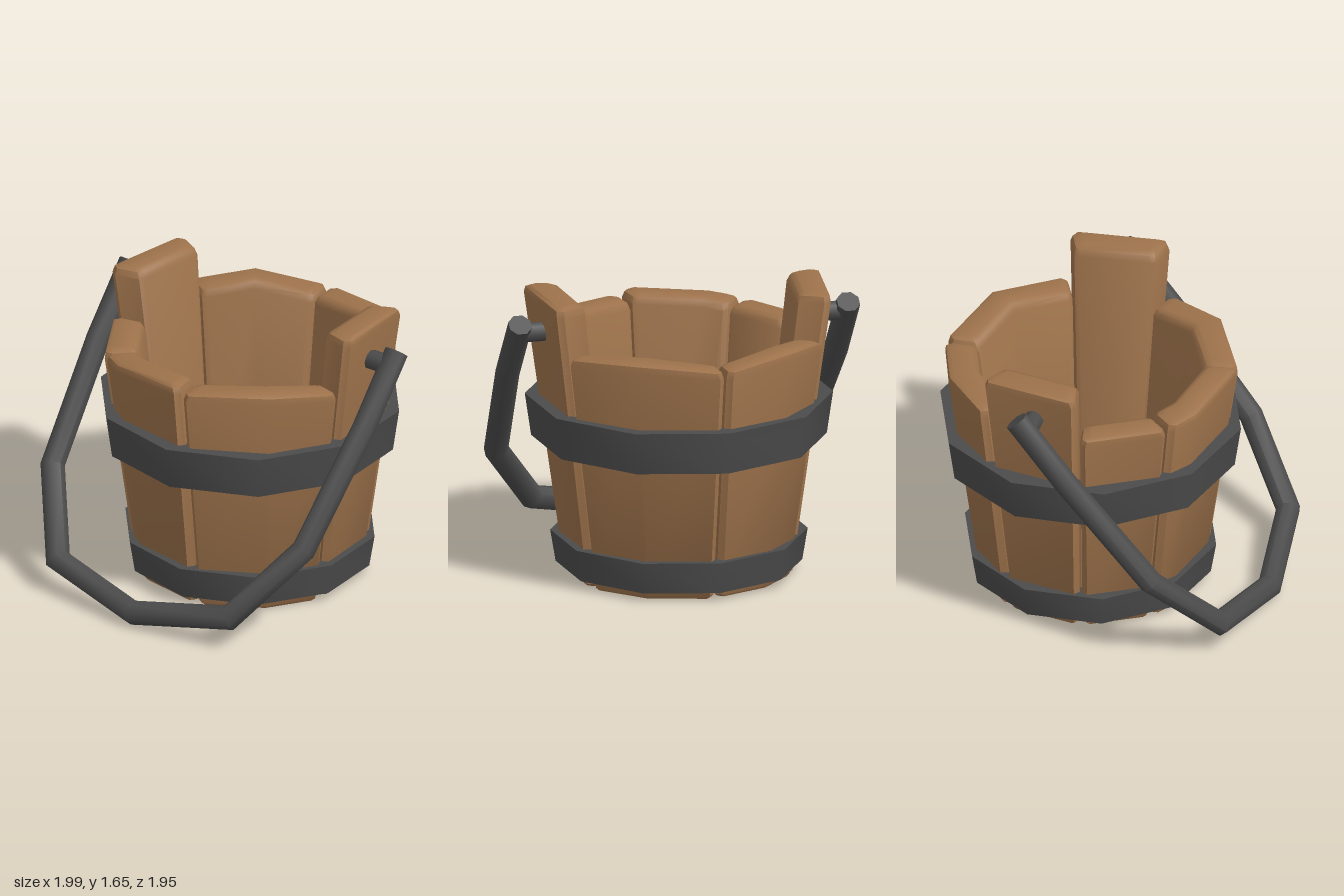
import * as THREE from 'three';
import { toCreasedNormals } from 'three/addons/utils/BufferGeometryUtils.js';

const rad = THREE.MathUtils.degToRad;
const AXIS_Z = -0.135; // the pail sits behind the centre, the bail hangs in front

// Skin a stack of equal loops (counter-clockwise about the stacking direction) and cap both ends.
function loft(rings, crease) {
  const n = rings[0].length, last = (rings.length - 1) * n, index = [];
  for (let j = 0; j < rings.length - 1; j++) {
    for (let i = 0; i < n; i++) {
      const a = j * n + i, b = j * n + (i + 1) % n;
      index.push(a, b, b + n, a, b + n, a + n);
    }
  }
  for (let i = 0; i < n / 2 - 1; i++) {
    const a = i, b = i + 1, c = n - 2 - i, d = n - 1 - i;
    index.push(last + a, last + b, last + c, last + a, last + c, last + d);
    index.push(a, c, b, a, d, c);
  }
  const g = new THREE.BufferGeometry().setFromPoints(rings.flat());
  g.setIndex(index);
  return toCreasedNormals(g, rad(crease));
}

// One wall board: corner angles in degrees (from +z towards +x) with a top height at each.
function staveGeometry(angles, heights, base) {
  const bevel = 0.03, gap = 0.007;
  const ring = (isTop, level, inset) => {
    const outer = [], inner = [], count = angles.length;
    angles.forEach((deg, k) => {
      const y = isTop ? heights[k] + level : base + level;
      const R = 0.63 + 0.14 * y - inset, r = 0.465 + 0.12 * y + inset;
      const side = k === 0 ? 1 : k === count - 1 ? -1 : 0;
      const add = (list, radius, shift) => {
        const a = rad(deg) + side * shift / radius;
        list.push(new THREE.Vector3(radius * Math.sin(a), y, radius * Math.cos(a) + AXIS_Z));
      };
      const edge = gap + inset;
      if (side === 1) { add(outer, R - bevel, edge); add(inner, r + bevel * 0.7, edge); }
      add(outer, R, side ? edge + bevel : 0);
      add(inner, r, side ? edge + bevel * 0.7 : 0);
      if (side === -1) { add(outer, R - bevel, edge); add(inner, r + bevel * 0.7, edge); }
    });
    return [...outer, ...inner.reverse()];
  };
  return loft([
    ring(false, 0, 0.012), ring(false, 0.015, 0),
    ring(true, -0.05, 0), ring(true, -0.015, 0.012), ring(true, 0, 0.04),
  ], 42);
}

// Closed ten-sided band, its inner side buried in the wall.
function hoopGeometry(y0, y1, r0, r1, depth) {
  const profile = [[r0, y0], [r1, y1], [r1 - depth, y1], [r0 - depth, y0], [r0, y0]]
    .map(p => new THREE.Vector2(...p));
  return toCreasedNormals(new THREE.LatheGeometry(profile, 10, rad(5.4)), rad(40));
}

// Floor board: a strip of a disc between two depths.
function plankGeometry(z0, z1, radius, thickness) {
  const right = [], left = [];
  for (let i = 0; i <= 6; i++) {
    const z = z0 + (z1 - z0) * i / 6;
    const x = Math.sqrt(Math.max(radius * radius - z * z, 0.0004));
    right.push(new THREE.Vector2(x, -z));
    left.unshift(new THREE.Vector2(-x, -z));
  }
  const g = new THREE.ExtrudeGeometry(new THREE.Shape([...right, ...left]),
    { depth: thickness, bevelEnabled: false });
  return g.rotateX(-Math.PI / 2);
}

// Bent bar with mitred joints, lying in one tilted plane.
function bailGeometry() {
  const radius = 0.067, sides = 8;
  const down = new THREE.Vector3(0, -0.777, 0.629), normal = new THREE.Vector3(0, 0.629, 0.777);
  const half = [[0.932, -0.01], [0.932, 0.45], [0.88, 1.2], [0.6, 1.69]];
  const path = [...half, [0, 1.835], ...half.map(([x, s]) => [-x, s]).reverse()]
    .map(([x, s]) => new THREE.Vector3(x, 1.5, -0.25).addScaledVector(down, s));
  const rings = path.map((p, i) => {
    const before = p.clone().sub(path[Math.max(i - 1, 0)]).normalize();
    const after = path[Math.min(i + 1, path.length - 1)].clone().sub(p).normalize();
    const tangent = before.clone().add(after).normalize();
    const straight = before.lengthSq() ? before : after;
    const mitre = normal.clone().cross(tangent).divideScalar(tangent.dot(straight));
    return Array.from({ length: sides }, (_, k) => {
      const a = (k + 0.5) / sides * Math.PI * 2;
      return p.clone().addScaledVector(mitre, radius * Math.cos(a))
        .addScaledVector(normal, radius * Math.sin(a));
    });
  });
  return loft(rings, 50);
}

export function createModel() {
  const wood = new THREE.MeshStandardMaterial({ color: 0x9d724b });
  wood.name = 'wood';
  const iron = new THREE.MeshStandardMaterial({ color: 0x4b4b4b });
  iron.name = 'iron';

  const model = new THREE.Group();
  model.name = 'bucket';
  const add = (name, geometry, material, x = 0, y = 0, z = 0) => {
    const mesh = new THREE.Mesh(geometry, material);
    mesh.name = name;
    mesh.position.set(x, y, z);
    model.add(mesh);
    return mesh;
  };

  // Wall boards of uneven width, two of them tall to carry the bail
  const staves = [
    ['frontLeftStave', [10, 46, 76], [1.37, 1.385, 1.34], 0.005],
    ['leftTallStave', [76, 116.5], [1.66, 1.65], 0.015],
    ['backLeftStave', [116.5, 150, 185], [1.38, 1.41, 1.37], 0.01],
    ['backRightStave', [185, 216, 243], [1.37, 1.41, 1.38], 0.015],
    ['rightTallStave', [243, 283.5], [1.63, 1.63], 0.015],
    ['rightStave', [283.5, 320.5], [1.35, 1.35], 0.015],
    ['frontRightStave', [320.5, 334, 370], [1.365, 1.375, 1.4], 0.01],
  ];
  for (const [name, angles, heights, base] of staves) {
    add(name, staveGeometry(angles, heights, base), wood);
  }

  // Recessed floor: a base disc with three boards on it
  add('floorBase', new THREE.CylinderGeometry(0.54, 0.54, 0.05, 20), wood, 0, 0.055, AXIS_Z);
  for (const [z0, z1] of [[-0.54, -0.196], [-0.184, 0.169], [0.181, 0.54]]) {
    add('floorPlank', plankGeometry(z0, z1, 0.54, 0.06), wood, 0, 0.08, AXIS_Z);
  }

  // Iron bands
  add('upperHoop', hoopGeometry(0.78, 1.02, 0.815, 0.85, 0.12), iron, 0, 0, AXIS_Z);
  add('lowerHoop', hoopGeometry(0.055, 0.235, 0.68, 0.71, 0.1), iron, 0, 0, AXIS_Z);

  // Bail and the pegs it swings on
  add('bail', bailGeometry(), iron);
  for (const side of [1, -1]) {
    const peg = add('bailPeg', new THREE.CylinderGeometry(0.056, 0.056, 0.25, 8), iron, side * 0.8, 1.445, -0.2);
    peg.rotation.z = Math.PI / 2;
  }
  return model;
}
